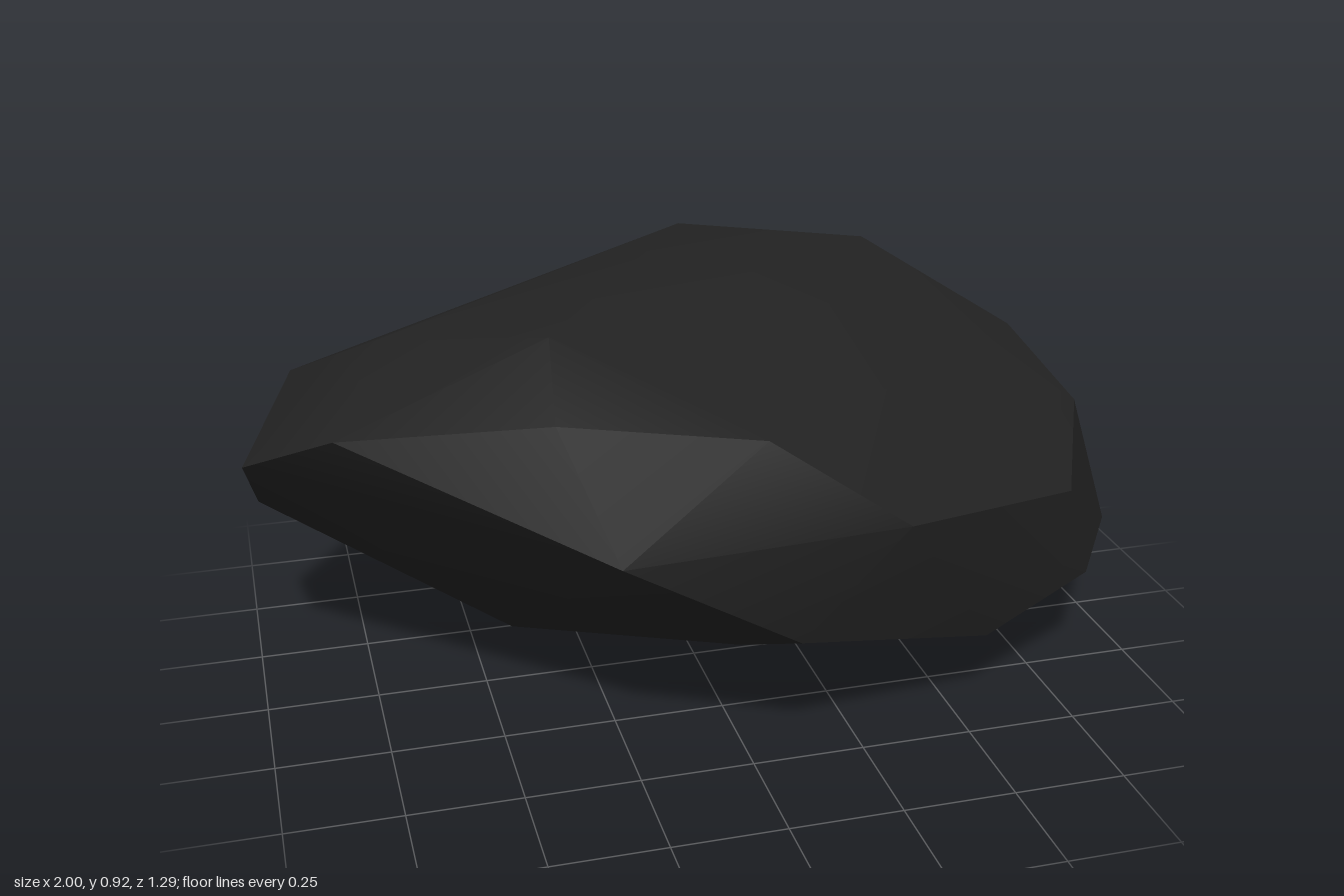
import * as THREE from 'three';
import { ConvexGeometry } from 'three/addons/geometries/ConvexGeometry.js';
import { toCreasedNormals } from 'three/addons/utils/BufferGeometryUtils.js';

// Corners of the boulder, grouped by region: [x, y, z]
const topCorners = [
  [-0.37, 0.92, 0.24], [-0.70, 0.86, 0.00], [-0.87, 0.70, -0.30],
  [0.10, 0.91, -0.52], [0.55, 0.865, -0.44], [0.85, 0.69, -0.20],
  [0.905, 0.59, 0.075], [0.70, 0.73, 0.02],
];
const frontCorners = [
  [-0.82, 0.745, 0.26], [-0.40, 0.81, 0.45], [0.00, 0.785, 0.57],
  [0.28, 0.60, 0.645], [0.78, 0.485, 0.34], [-0.30, 0.545, 0.58],
  [0.08, 0.32, 0.565], [0.56, 0.195, 0.425], [0.86, 0.25, 0.295],
];
const sideAndBackCorners = [
  [1.00, 0.28, 0.09], [0.81, 0.385, -0.34], [0.46, 0.35, -0.56],
  [0.08, 0.36, -0.635], [-0.09, 0.59, -0.645], [-0.37, 0.65, -0.61],
  [-0.78, 0.46, -0.565], [-0.97, 0.365, -0.34], [-1.00, 0.60, 0.00],
];
const bottomCorners = [
  [0.82, 0.075, -0.03], [0.12, 0.00, -0.01], [-0.42, 0.08, -0.10],
  [-0.57, 0.15, -0.51], [0.21, 0.035, -0.38],
];

export function createModel() {
  const model = new THREE.Group();
  model.name = 'boulder';

  const darkStone = new THREE.MeshStandardMaterial({ color: 0x222222 });
  darkStone.name = 'dark stone';

  // Wrap the corners in a faceted shell, softening only the shallow edges
  const corners = [...topCorners, ...frontCorners, ...sideAndBackCorners, ...bottomCorners]
    .map((p) => new THREE.Vector3(...p));
  const shell = toCreasedNormals(new ConvexGeometry(corners), 0.55);

  const rock = new THREE.Mesh(shell, darkStone);
  rock.name = 'rock';
  model.add(rock);
  return model;
}
